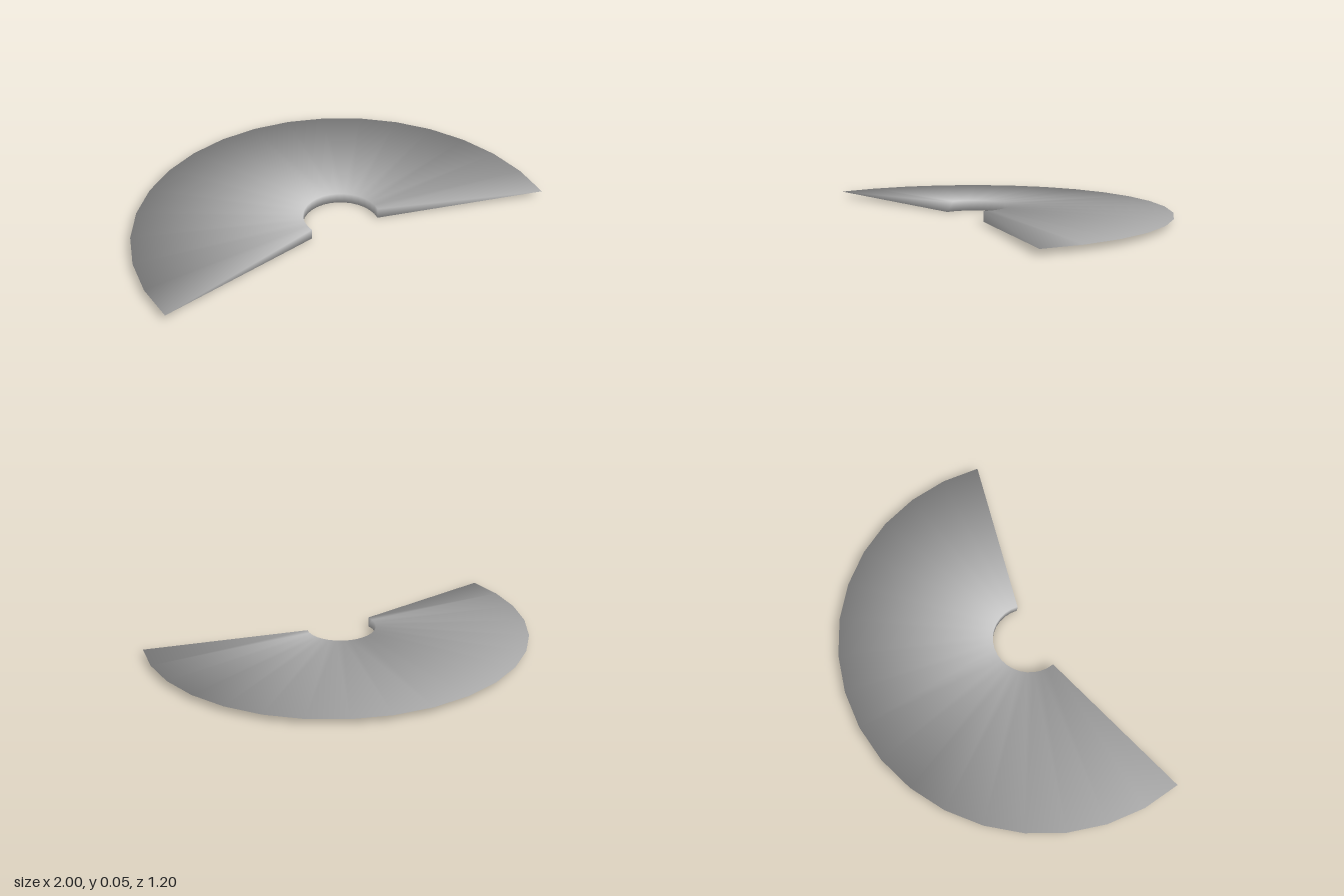
import * as THREE from 'three';

const SEGMENTS = 18;
const STEP = Math.PI / 16;
const START = -STEP; // the fan runs slightly past a half turn at both ends

// Wedge cross-section: radius, height, arc centre in z, and soft corner normal (outward, up)
const PROFILE = [
  { r: 0.18, y: 0, z: 0.345, out: -1, up: -1 }, // inner bottom
  { r: 0.18, y: 0.05, z: 0.345, out: -1, up: 1 }, // inner top
  { r: 1, y: 0.025, z: 0.4, out: 1, up: 0 }, // thin outer rim
];

function fanGeometry() {
  const positions = [], normals = [], index = [];

  // Sweep the wedge around the arc, with rounded-looking shading
  for (let i = 0; i <= SEGMENTS; i++) {
    const a = START + i * STEP;
    const c = Math.cos(a), s = Math.sin(a);
    const end = i === 0 ? 1 : i === SEGMENTS ? -1 : 0;
    for (const p of PROFILE) {
      positions.push(p.r * c, p.y, p.z - p.r * s);
      const n = new THREE.Vector3(p.out * c + end * s, p.up, -p.out * s + end * c).normalize();
      normals.push(n.x, n.y, n.z);
    }
  }

  // Inner wall, top slope and bottom slope; diagonals mirror across the middle
  for (let i = 0; i < SEGMENTS; i++) {
    for (let k = 0; k < 3; k++) {
      const p = i * 3 + k, q = i * 3 + (k + 1) % 3;
      const flip = (i >= SEGMENTS / 2) !== (k === 2);
      if (flip) index.push(p, q, p + 3, q, q + 3, p + 3);
      else index.push(p, q, q + 3, p, q + 3, p + 3);
    }
  }

  // End caps
  const last = SEGMENTS * 3;
  index.push(0, 2, 1, last, last + 1, last + 2);

  const geometry = new THREE.BufferGeometry();
  geometry.setAttribute('position', new THREE.Float32BufferAttribute(positions, 3));
  geometry.setAttribute('normal', new THREE.Float32BufferAttribute(normals, 3));
  geometry.setIndex(index);
  return geometry;
}

export function createModel() {
  const grey = new THREE.MeshStandardMaterial({ color: 0xc4c4c4 });
  grey.name = 'light grey';

  const blade = new THREE.Mesh(fanGeometry(), grey);
  blade.name = 'curvedBlade';

  const group = new THREE.Group();
  group.name = 'fanBlade';
  group.add(blade);
  return group;
}
